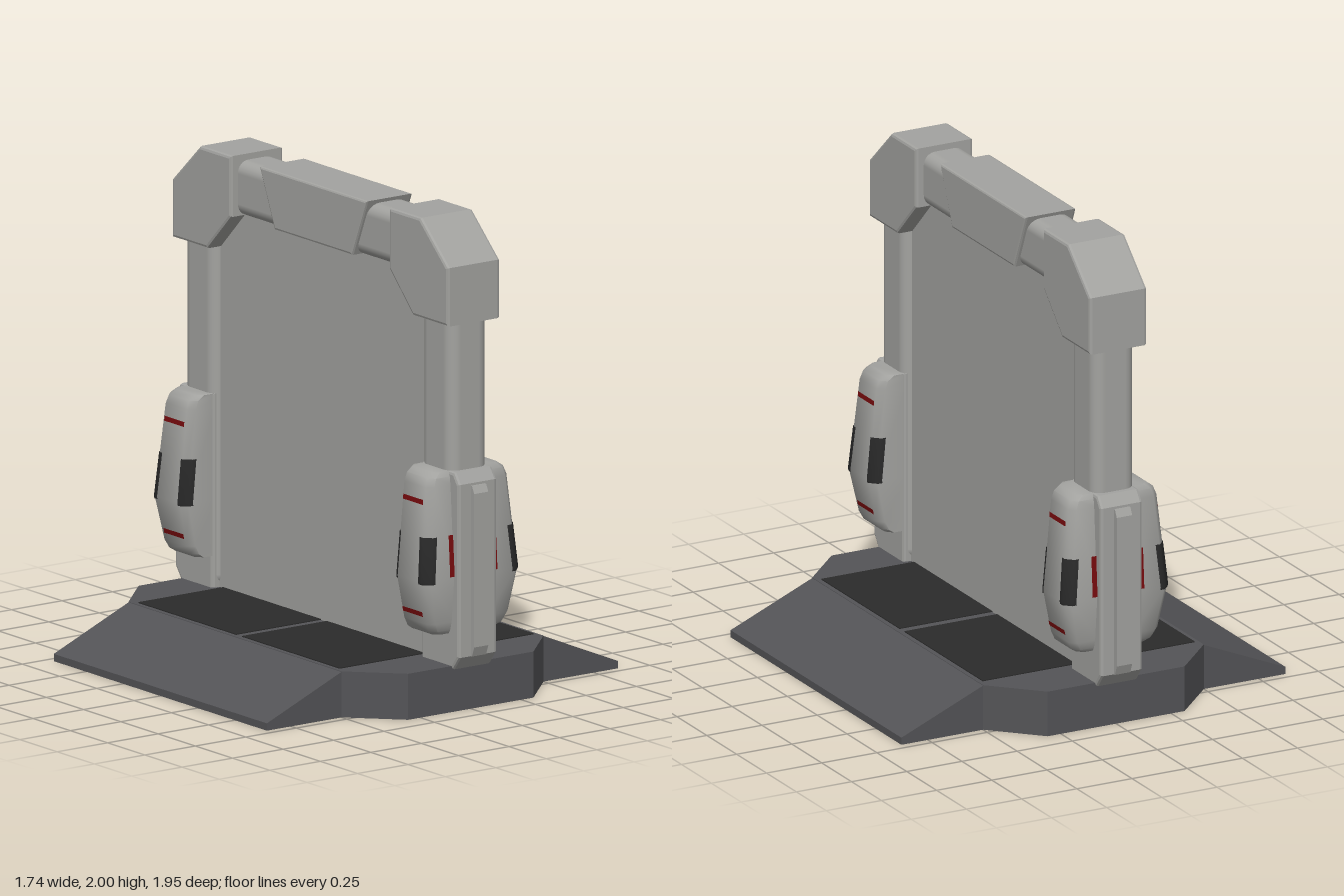
import * as THREE from 'three';
import { toCreasedNormals } from 'three/addons/utils/BufferGeometryUtils.js';
import { RoundedBoxGeometry } from 'three/addons/geometries/RoundedBoxGeometry.js';

const mat = (name, color, side = THREE.FrontSide) => {
  const m = new THREE.MeshStandardMaterial({ color, side });
  m.name = name;
  return m;
};

// Extrudes a [u, v] outline, centred on its depth, with a small optional bevel kept inside the outline
function slab(points, depth, bevel = 0) {
  const shape = new THREE.Shape(points.map(([u, v]) => new THREE.Vector2(u, v)));
  const g = new THREE.ExtrudeGeometry(shape, {
    depth: depth - 2 * bevel, bevelEnabled: bevel > 0, bevelSize: bevel,
    bevelThickness: bevel, bevelOffset: -bevel, bevelSegments: 2,
  });
  return g.translate(0, 0, bevel - depth / 2);
}

// Side outline given as [z, y], thickness along x
const sideSlab = (points, depth, bevel) =>
  slab(points.map(([z, y]) => [-z, y]), depth, bevel).rotateY(Math.PI / 2);

// Skins rows of [x, y, z] points; side = -1 mirrors in x
function skin(rows, side, solid) {
  const n = rows[0].length, index = [];
  const tri = (a, b, c) => (side > 0 ? index.push(a, b, c) : index.push(a, c, b));
  for (let i = 0; i < rows.length - 1; i++) {
    for (let j = 0; j < (solid ? n : n - 1); j++) {
      const a = i * n + j, b = i * n + ((j + 1) % n);
      tri(a, a + n, b);
      tri(b, a + n, b + n);
    }
  }
  if (solid) {
    const top = (rows.length - 1) * n;
    for (let j = 1; j < n - 1; j++) {
      tri(0, j, j + 1);
      tri(top, top + j + 1, top + j);
    }
  }
  const g = new THREE.BufferGeometry();
  const flat = rows.flat().flatMap(([x, y, z]) => [x * side, y, z]);
  g.setAttribute('position', new THREE.Float32BufferAttribute(flat, 3));
  g.setIndex(index);
  return toCreasedNormals(g, 0.9);
}

// Pod silhouette: height, outer x, outer z
const POD = [
  [0.32, 0.16, 0.885], [0.335, 0.183, 0.895], [0.37, 0.2, 0.905], [0.55, 0.236, 0.922],
  [0.93, 0.2, 0.897], [0.965, 0.187, 0.892], [0.985, 0.16, 0.88],
];
const POD_IN = 0.705, CUT = 0.025;

function podAt(y) {
  let i = 0;
  while (i < POD.length - 2 && y > POD[i + 1][0]) i++;
  const [a, b] = [POD[i], POD[i + 1]], t = (y - a[0]) / (b[0] - a[0]);
  return [a[1] + (b[1] - a[1]) * t, a[2] + (b[2] - a[2]) * t];
}

export function createModel() {
  const model = new THREE.Group();
  model.name = 'gateway';
  const grey = mat('light grey', 0xa3a3a0);
  const dark = mat('dark grey', 0x545457);
  const black = mat('black rubber', 0x2b2b2b, THREE.DoubleSide);
  const red = mat('red marking', 0x780b0d, THREE.DoubleSide);
  const add = (parent, name, geometry, material) => {
    const m = new THREE.Mesh(geometry, material);
    m.name = name;
    parent.add(m);
    return m;
  };

  // Base: ramps to both sides and a platform with cut corners
  add(model, 'ramps', slab([
    [-0.87, 0], [0.87, 0], [0.87, 0.03], [0.5, 0.187], [-0.5, 0.187], [-0.87, 0.03],
  ], 1.43), dark);
  add(model, 'platform', slab([
    [-0.5, -0.715], [-0.31, -0.905], [0.31, -0.905], [0.5, -0.715],
    [0.5, 0.715], [0.31, 0.905], [-0.31, 0.905], [-0.5, 0.715],
  ], 0.189).rotateX(-Math.PI / 2).translate(0, 0.0945, 0), dark);
  for (const s of [1, -1]) {
    add(model, 'floorPad', new THREE.BoxGeometry(0.96, 0.008, 0.655), black)
      .position.set(0, 0.189, s * 0.348);
  }

  // Wall panel filling the frame
  add(model, 'wallPanel', sideSlab([
    [-0.7, 0.185], [0.7, 0.185], [0.7, 1.58], [0.53, 1.752], [-0.53, 1.752], [-0.7, 1.58],
  ], 0.12), grey);

  // Top beam
  add(model, 'beamCore', new RoundedBoxGeometry(0.19, 0.225, 1.2, 3, 0.05).translate(0, 1.862, 0), grey);
  add(model, 'beamCover', sideSlab([
    [-0.26, 1.75], [0.26, 1.75], [0.36, 1.99], [-0.36, 1.99],
  ], 0.23, 0.01), grey);

  // Two identical posts, one turned half round
  for (const turn of [0, Math.PI]) {
    const post = new THREE.Group();
    post.name = turn ? 'rearPost' : 'frontPost';
    post.rotation.y = turn;
    model.add(post);

    add(post, 'column', new RoundedBoxGeometry(0.19, 1.5, 0.21, 3, 0.05).translate(0, 0.94, 0.795), grey);
    add(post, 'cornerCap', sideSlab([
      [0.53, 1.75], [0.69, 1.59], [0.925, 1.59], [0.925, 1.83], [0.74, 2], [0.53, 2],
    ], 0.26, 0.012), grey);
    add(post, 'columnCover', sideSlab([
      [0.7, 0.175], [0.91, 0.175], [0.952, 0.23], [0.952, 0.94], [0.92, 0.985], [0.7, 0.985],
    ], 0.19, 0.012), grey);
    add(post, 'coverRib', sideSlab([
      [0.94, 0.23], [0.96, 0.23], [0.975, 0.27], [0.975, 0.9], [0.96, 0.93], [0.94, 0.93],
    ], 0.07), grey);

    for (const side of [1, -1]) {
      // Pod lofted upwards through cut-corner sections
      add(post, 'sidePod', skin(POD.map(([y, x, z]) => [
        [0.08, y, POD_IN], [x - CUT, y, POD_IN], [x, y, POD_IN + CUT],
        [x, y, z - CUT], [x - CUT, y, z], [0.08, y, z],
      ]), side, true), grey);

      // Thin markings that follow the pod surface
      const e = 0.004;
      const marking = (name, heights, outline, material) => add(post, name, skin(
        heights.map((y) => {
          const [x, z] = podAt(y);
          return outline(x, z).map(([px, pz]) => [px, y, pz]);
        }), side, false), material);
      const grip = [0.54, 0.55, 0.715, 0.73];
      marking('outerGrip', grip, (x, z) => [
        [x + e, z - 0.046], [x + e, z - CUT], [x - CUT, z + e], [x - 0.045, z + e],
      ], black);
      marking('innerGrip', grip, (x) => [
        [x - 0.045, POD_IN - e], [x - CUT, POD_IN - e], [x + e, POD_IN + CUT], [x + e, POD_IN + 0.034],
      ], black);
      for (const y of [0.41, 0.87]) {
        marking('redStripe', [y - 0.01, y + 0.01], (x) => [[x + e, 0.735], [x + e, 0.868]], red);
      }
      marking('redEdge', [0.56, 0.73], (x, z) => [[0.117, z + e], [0.09, z + e]], red);
    }
  }
  return model;
}
